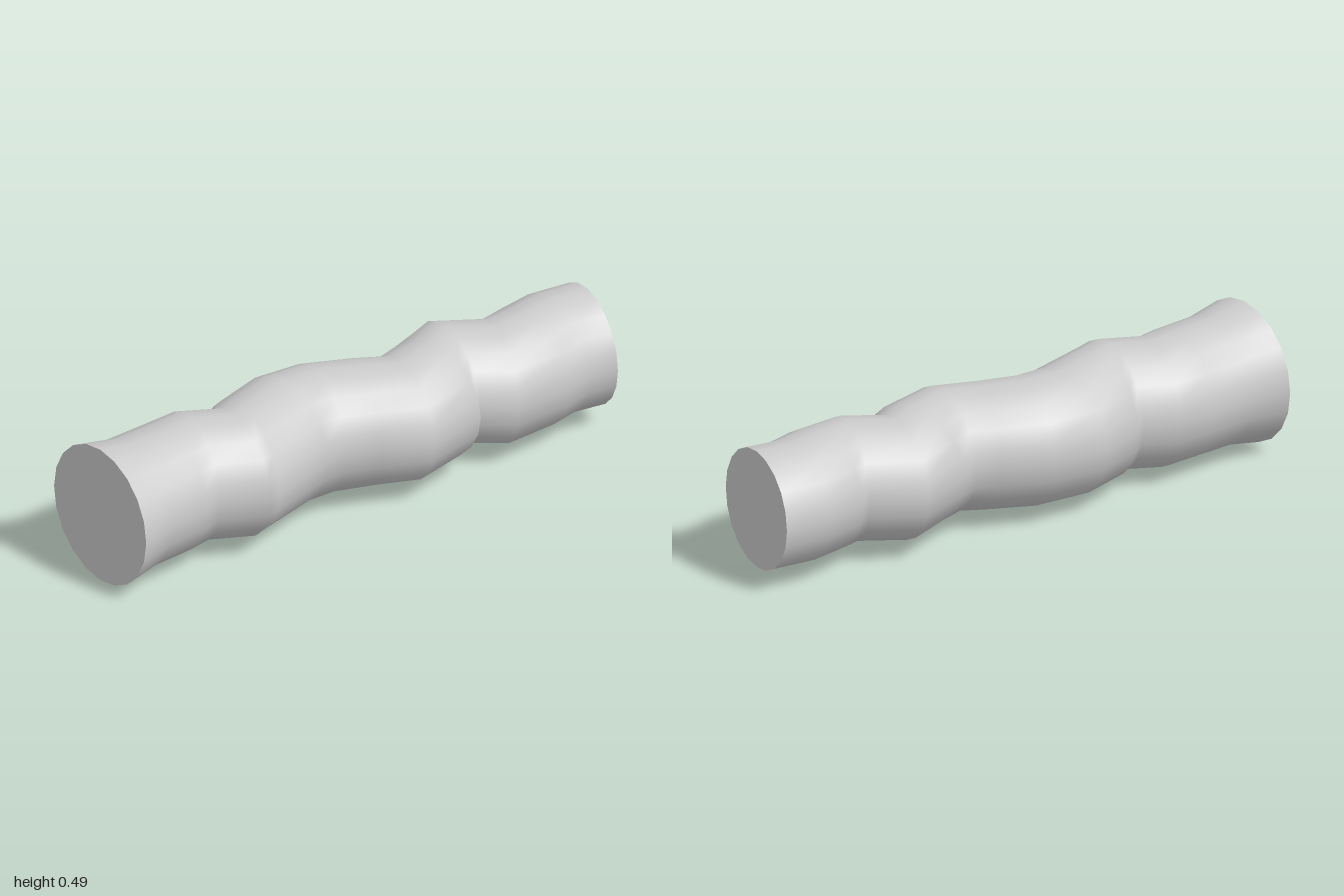
import * as THREE from 'three';

const SIDES = 20;
const AXIS_Y = 0.246;

// Cross-sections along the limb: [back x, back z, front x, front z, half height]
const SECTIONS = [
  [-1.00, -0.24, -0.98, 0.25, 0.245],
  [-0.87, -0.22, -0.85, 0.215, 0.222],
  [-0.70, -0.235, -0.70, 0.20, 0.22],
  [-0.56, -0.245, -0.63, 0.18, 0.219],
  [-0.45, -0.185, -0.48, 0.25, 0.219],
  [-0.40, -0.22, -0.43, 0.235, 0.22],
  [-0.24, -0.275, -0.18, 0.16, 0.22],
  [-0.04, -0.265, -0.11, 0.16, 0.218],
  [0.14, -0.195, 0.00, 0.20, 0.213],
  [0.205, -0.16, 0.17, 0.27, 0.21],
  [0.28, -0.19, 0.40, 0.21, 0.209],
  [0.47, -0.26, 0.43, 0.16, 0.209],
  [0.64, -0.165, 0.53, 0.24, 0.208],
  [0.68, -0.185, 0.76, 0.225, 0.208],
  [0.83, -0.215, 0.85, 0.20, 0.207],
  [1.00, -0.20, 0.95, 0.215, 0.207],
];

// Points of one elliptical ring, from the front round over the top
function ring([bx, bz, fx, fz, h]) {
  const points = [];
  for (let j = 0; j < SIDES; j++) {
    const a = (j / SIDES) * Math.PI * 2;
    const t = (1 + Math.cos(a)) / 2;
    points.push(bx + (fx - bx) * t, AXIS_Y + h * Math.sin(a), bz + (fz - bz) * t);
  }
  return points;
}

function makeMesh(name, positions, indices, material) {
  const geometry = new THREE.BufferGeometry();
  geometry.setAttribute('position', new THREE.Float32BufferAttribute(positions, 3));
  geometry.setIndex(indices);
  geometry.computeVertexNormals();
  const mesh = new THREE.Mesh(geometry, material);
  mesh.name = name;
  return mesh;
}

// Flat end disc
function makeCap(name, section, facesRight, material) {
  const [bx, bz, fx, fz] = section;
  const positions = [...ring(section), (bx + fx) / 2, AXIS_Y, (bz + fz) / 2];
  const indices = [];
  for (let j = 0; j < SIDES; j++) {
    const k = (j + 1) % SIDES;
    indices.push(SIDES, facesRight ? k : j, facesRight ? j : k);
  }
  return makeMesh(name, positions, indices, material);
}

export function createModel() {
  const group = new THREE.Group();
  group.name = 'knobblyLog';
  const material = new THREE.MeshStandardMaterial({ color: 0xcccccc });

  // Smooth winding bark surface
  const indices = [];
  for (let i = 0; i < SECTIONS.length - 1; i++) {
    for (let j = 0; j < SIDES; j++) {
      const k = (j + 1) % SIDES;
      const a = i * SIDES + j, c = i * SIDES + k;
      const b = a + SIDES, d = c + SIDES;
      indices.push(a, b, d, a, d, c);
    }
  }
  group.add(makeMesh('bark', SECTIONS.flatMap(ring), indices, material));

  // Cut ends
  group.add(makeCap('wideEnd', SECTIONS[0], false, material));
  group.add(makeCap('narrowEnd', SECTIONS[SECTIONS.length - 1], true, material));
  return group;
}
